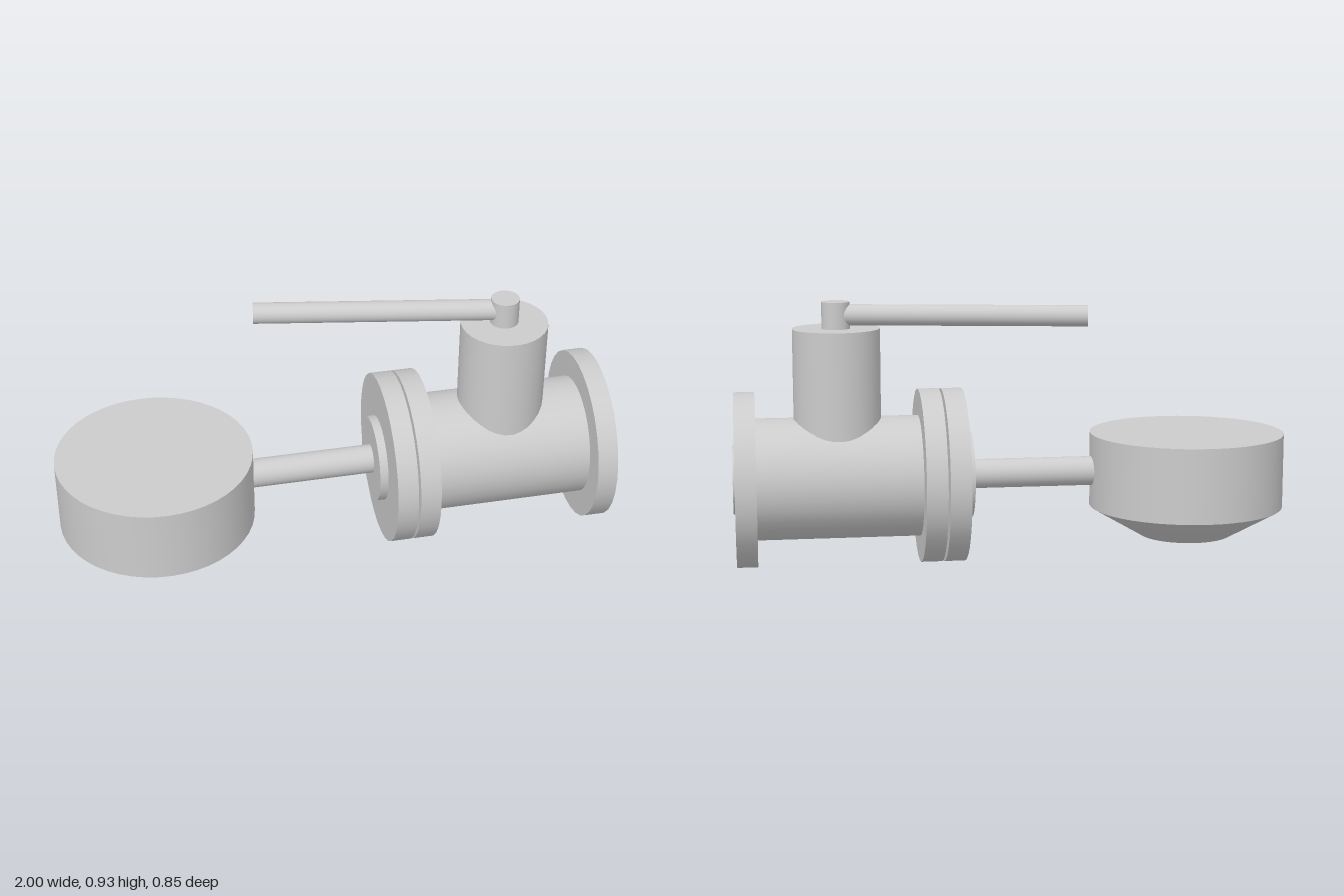
import * as THREE from 'three';

const material = new THREE.MeshStandardMaterial({ color: 0xcccccc });
const SIDES = 32;

// Upright cylinder between two heights
function upright(name, radius, y0, y1, x, z, sides = SIDES) {
  const mesh = new THREE.Mesh(new THREE.CylinderGeometry(radius, radius, y1 - y0, sides), material);
  mesh.name = name;
  mesh.position.set(x, (y0 + y1) / 2, z);
  return mesh;
}

// Cylinder lying along x between two stations
function lying(name, radius, x0, x1, sides = SIDES) {
  const geometry = new THREE.CylinderGeometry(radius, radius, x1 - x0, sides);
  geometry.rotateZ(-Math.PI / 2);
  const mesh = new THREE.Mesh(geometry, material);
  mesh.name = name;
  mesh.position.x = (x0 + x1) / 2;
  return mesh;
}

export function createModel() {
  const model = new THREE.Group();
  model.name = 'valveWithFloat';

  // Pipe line: everything strung along the slightly turned main axis
  const line = new THREE.Group();
  line.name = 'pipeLine';
  line.position.set(0.6, 0.312, -0.078);
  line.rotation.y = THREE.MathUtils.degToRad(7.1);
  const linePieces = [
    ['valveBody', 0.215, -0.3, 0.3],
    ['outletFlange', 0.309, 0.288, 0.361],
    ['outletRaisedFace', 0.121, 0.35, 0.369],
    ['inletFlange', 0.309, -0.361, -0.287],
    ['flangeGasket', 0.155, -0.38, -0.35],
    ['matingFlange', 0.309, -0.443, -0.369],
    ['hub', 0.155, -0.473, -0.43],
    ['connectingPipe', 0.052, -0.96, -0.46],
  ];
  for (const piece of linePieces) line.add(lying(...piece));
  model.add(line);

  // Bonnet and spindle on top of the body
  model.add(upright('bonnet', 0.154, 0.312, 0.843, 0.6, -0.075));
  model.add(upright('spindle', 0.05, 0.83, 0.937, 0.6, -0.08));

  // Lever handle reaching out over the pipe
  const lever = new THREE.Group();
  lever.name = 'leverHandle';
  lever.position.set(0.6, 0.891, -0.08);
  lever.rotation.y = THREE.MathUtils.degToRad(-3);
  lever.add(lying('leverRod', 0.037, -0.88, 0));
  model.add(lever);

  // Round pot with a shallow domed bottom
  const pot = new THREE.Group();
  pot.name = 'pot';
  pot.position.set(-0.65, 0, 0.075);
  pot.add(upright('potWall', 0.35, 0.179, 0.446, 0, 0, 48));
  const profile = [[0, 0.049], [0.165, 0.071], [0.35, 0.179]].map(([r, y]) => new THREE.Vector2(r, y));
  const dome = new THREE.Mesh(new THREE.LatheGeometry(profile, 48), material);
  dome.name = 'potBottom';
  pot.add(dome);
  model.add(pot);

  return model;
}
